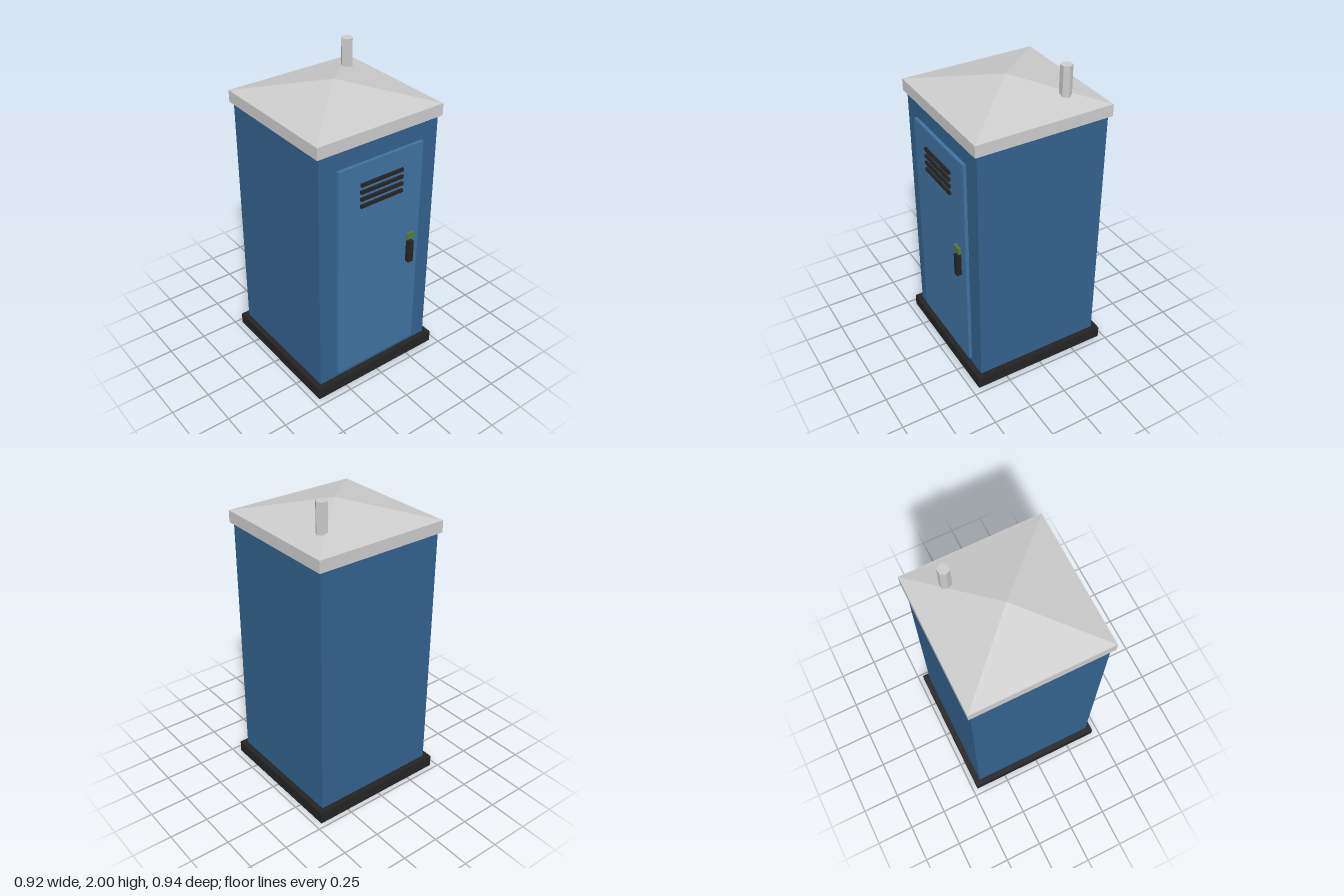
import * as THREE from 'three';

const mat = (color) => new THREE.MeshStandardMaterial({ color, flatShading: true });

export function createModel() {
  const cabin = new THREE.Group();
  cabin.name = 'portableCabin';
  const blue = mat(0x33628d), doorBlue = mat(0x3f719e);
  const black = mat(0x242424), grey = mat(0xcccccc), green = mat(0x507c3c);
  const cz = -0.008; // the hull sits slightly behind the centre because of the handle

  const add = (name, geometry, material, x, y, z) => {
    const mesh = new THREE.Mesh(geometry, material);
    mesh.name = name;
    mesh.position.set(x, y, z);
    cabin.add(mesh);
    return mesh;
  };
  // Box given by its lower and upper limits on each axis
  const box = (name, material, [x0, x1], [y0, y1], [z0, z1]) =>
    add(name, new THREE.BoxGeometry(x1 - x0, y1 - y0, z1 - z0), material,
      (x0 + x1) / 2, (y0 + y1) / 2, (z0 + z1) / 2);
  const around = (half) => [cz - half, cz + half];

  // Hull
  box('base', black, [-0.46, 0.46], [0, 0.077], around(0.46));
  box('walls', blue, [-0.423, 0.423], [0.077, 1.7], around(0.423));
  box('roofEdge', grey, [-0.442, 0.442], [1.7, 1.775], around(0.442));

  // Four-sided roof
  const roof = new THREE.ConeGeometry(0.438 * Math.SQRT2, 0.112, 4);
  roof.rotateY(Math.PI / 4);
  add('roof', roof, grey, 0, 1.831, cz);

  // Hexagonal vent pipe
  const pipe = new THREE.CylinderGeometry(0.037, 0.037, 0.23, 6);
  pipe.rotateY(Math.PI / 6);
  add('ventPipe', pipe, grey, 0.268, 1.885, -0.24);

  // Door and fittings
  box('door', doorBlue, [-0.305, 0.303], [0.12, 1.58], [0.41, 0.437]);
  for (let i = 0; i < 4; i++) {
    const y = 1.311 + i * 0.0463;
    box('ventSlat', black, [-0.154, 0.152], [y - 0.01, y + 0.01], [0.435, 0.451]);
  }
  box('handle', black, [0.211, 0.247], [0.775, 0.925], [0.437, 0.468]);
  box('lockIndicator', green, [0.2, 0.26], [0.943, 0.986], [0.445, 0.459]);

  return cabin;
}
